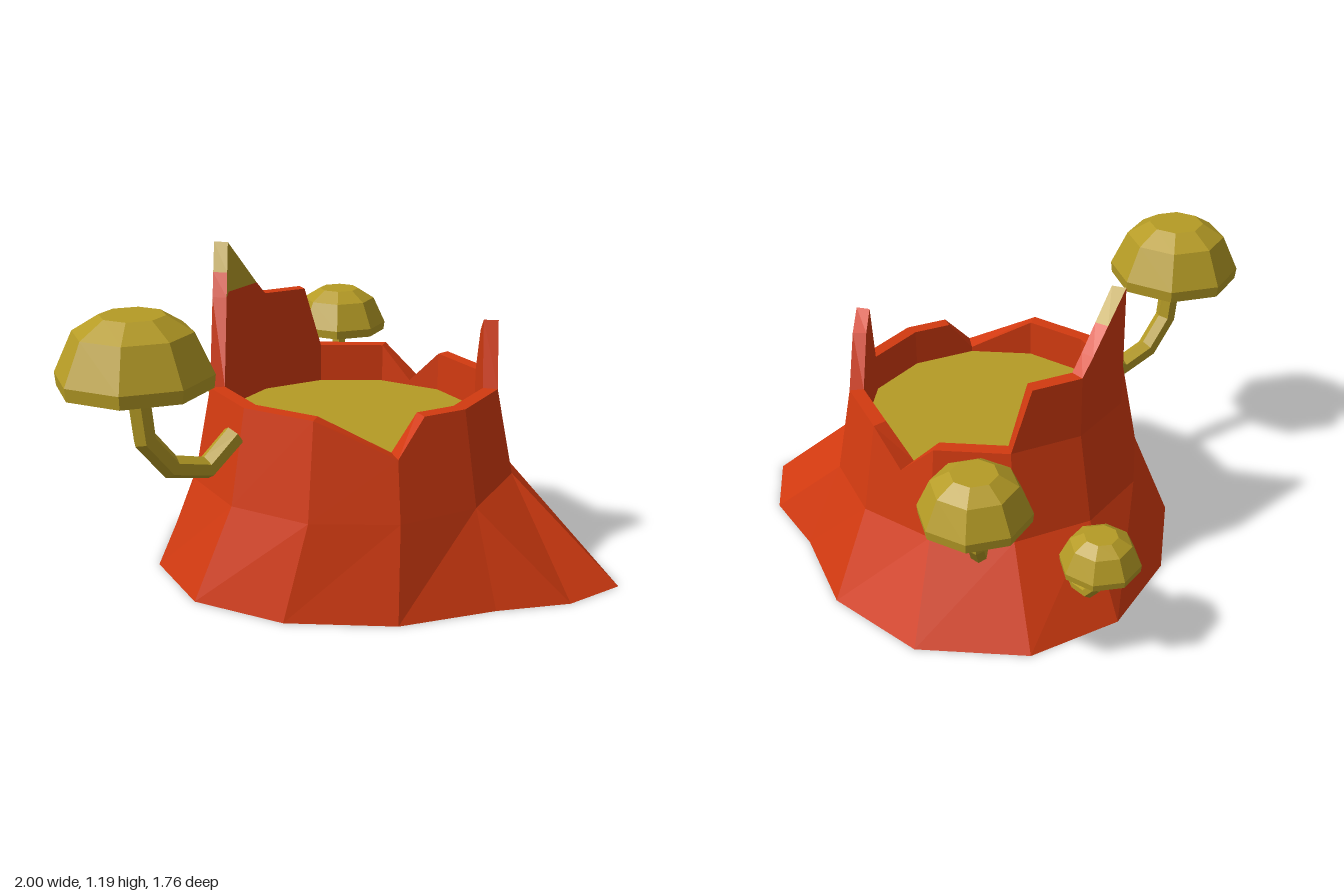
import * as THREE from 'three';

const CX = 0.12, CZ = 0.168, FLOOR = 0.55, TIP = 1.0, TIP_RIM = 1.08;

// Turns a list of polygons (arrays of Vector3) into a faceted geometry
function facets(polys) {
  const pos = [];
  for (const p of polys)
    for (let i = 1; i < p.length - 1; i++)
      for (const v of [p[0], p[i], p[i + 1]]) pos.push(v.x, v.y, v.z);
  const g = new THREE.BufferGeometry();
  g.setAttribute('position', new THREE.Float32BufferAttribute(pos, 3));
  g.computeVertexNormals();
  return g;
}

// Point on the side of a twelve-sided ring; k = 0 is the front, k = 3 the model's left
function onRing(k, r, y) {
  const i = Math.floor(k), t = k - i;
  const corner = (n) => {
    const a = (n * Math.PI) / 6;
    return new THREE.Vector3(CX + r * Math.sin(a), y, CZ + r * Math.cos(a));
  };
  return corner(i).lerp(corner(i + 1), t);
}

const outerRadius = (y) => 0.545 + 0.065 * Math.max(0, (0.7 - y) / 0.35);
const midPoint = (k) => {
  const p = onRing(k, 0.61, 0.35);
  p.y += 0.03 * Math.max(0, 1 - Math.abs(k - 2));
  return p;
};

// Jagged rim: [position around the ring, height]
const RIM = [
  [0, 0.57], [0.4, 0.7], [1, 0.7], [2, 0.7], [2.2, 0.945], [2.55, 0.885], [3, 0.7],
  [4, 0.7], [4.5, 0.57], [5, 0.7], [6, 0.7], [6.3, 0.945], [7, 0.945],
  [7.24, 1.0], [7.58, 1.085], [8, 1.19], [8.214, 1.085], [8.388, 1.0],
  [9, 0.7], [10, 0.7], [11, 0.7], [12, 0.57],
];

// Foot of the stump: [x, z, ring position above]; three points share the root
const FOOT = [
  [0.1, 0.84, 0], [0.47, 0.81, 1], [0.75, 0.82, 1], [0.98, 0.73, 2], [1.0, 0.43, 3],
  [0.88, 0.15, 3], [0.79, -0.24, 4], [0.52, -0.57, 5], [0.1, -0.68, 6], [-0.26, -0.55, 7],
  [-0.51, -0.25, 8], [-0.63, 0.13, 9], [-0.55, 0.48, 10], [-0.28, 0.72, 11], [0.1, 0.84, 12],
];

function buildStump(bark, wood) {
  const skirt = [], outer = [], inner = [], rim = [], tip = [];
  for (let i = 0; i < FOOT.length - 1; i++) {
    const [ax, az, ak] = FOOT[i], [bx, bz, bk] = FOOT[i + 1];
    const poly = [new THREE.Vector3(ax, 0, az), new THREE.Vector3(bx, 0, bz), midPoint(bk)];
    if (ak !== bk) poly.push(midPoint(ak));
    skirt.push(poly);
  }
  for (let i = 0; i < RIM.length - 1; i++) {
    const [ka, ya] = RIM[i], [kb, yb] = RIM[i + 1];
    const out = (k, y) => onRing(k, outerRadius(y), y);
    const inn = (k, y) => onRing(k, 0.49, y);
    const sa = Math.min(ya, 0.7), sb = Math.min(yb, 0.7);
    outer.push([midPoint(ka), midPoint(kb), out(kb, sb), out(ka, sa)]);
    if (ya > 0.7 || yb > 0.7) outer.push([out(ka, sa), out(kb, sb), out(kb, yb), out(ka, ya)]);
    // inner wall, with the bare wood tip above
    const ta = Math.min(ya, TIP), tb = Math.min(yb, TIP);
    inner.push([inn(kb, FLOOR), inn(ka, FLOOR), inn(ka, ta), inn(kb, tb)]);
    if (ya > TIP || yb > TIP) tip.push([inn(kb, tb), inn(ka, ta), inn(ka, ya), inn(kb, yb)]);
    const bare = ya > TIP_RIM && yb > TIP_RIM;
    (bare ? tip : rim).push([out(ka, ya), out(kb, yb), inn(kb, yb), inn(ka, ya)]);
  }
  const stump = new THREE.Group();
  stump.name = 'stump';
  const parts = [['rootSkirt', skirt, bark], ['outerWall', outer, bark], ['innerWall', inner, bark],
    ['rim', rim, bark], ['bareTip', tip, wood]];
  for (const [name, polys, mat] of parts) {
    const m = new THREE.Mesh(facets(polys), mat);
    m.name = name;
    stump.add(m);
  }
  // flat wooden floor inside the rim
  const floor = [];
  for (let k = 0; k < 12; k++) floor.push(onRing(k, 0.49, FLOOR));
  const disc = new THREE.Mesh(facets([floor]), wood);
  disc.name = 'woodFloor';
  stump.add(disc);
  return stump;
}

// Bent stem: six-sided rings along a planar path, mitred at each bend
function stemGeometry() {
  const path = [[0, 0.06], [0.03, -0.19], [0.13, -0.31], [0.28, -0.35], [0.405, -0.26]]
    .map((p) => new THREE.Vector2(...p));
  const rings = path.map((p, i) => {
    const before = p.clone().sub(path[Math.max(i - 1, 0)]).normalize();
    const after = path[Math.min(i + 1, path.length - 1)].clone().sub(p).normalize();
    const dir = before.add(after).normalize();
    return Array.from({ length: 6 }, (_, j) => {
      const a = (j * Math.PI) / 3, c = 0.042 * Math.cos(a);
      return new THREE.Vector3(p.x - dir.y * c, p.y + dir.x * c, 0.042 * Math.sin(a));
    });
  });
  const polys = [rings[0].slice(), rings[rings.length - 1].slice().reverse()];
  for (let i = 0; i < rings.length - 1; i++)
    for (let j = 0; j < 6; j++) {
      const n = (j + 1) % 6;
      polys.push([rings[i][j], rings[i + 1][j], rings[i + 1][n], rings[i][n]]);
    }
  return facets(polys);
}

// Eight-sided cap with a hollowed underside
function capGeometry() {
  const profile = [[0, 0.04], [0.15, 0.04], [0.26, 0], [0.265, 0.045], [0.2, 0.185], [0.11, 0.24], [0, 0.24]];
  const g = new THREE.LatheGeometry(profile.map((p) => new THREE.Vector2(...p)), 8).toNonIndexed();
  g.computeVertexNormals();
  return g;
}

export function createModel() {
  const bark = new THREE.MeshStandardMaterial({ color: 0xd23a10, side: THREE.DoubleSide });
  bark.name = 'redBark';
  const wood = new THREE.MeshStandardMaterial({ color: 0xb59b25, side: THREE.DoubleSide });
  wood.name = 'oliveWood';

  const model = new THREE.Group();
  model.name = 'mushroomStump';
  model.add(buildStump(bark, wood));

  // Mushrooms: cap position, size, horizontal direction of the stem, cap turn in degrees
  const mushrooms = [
    ['rightMushroom', [-0.745, 0.86, 0.62], 1, [0.36, -0.19], 28],
    ['backMushroom', [0.295, 0.67, -0.69], 0.76, [-0.07, 0.31], 28],
    ['smallBackMushroom', [-0.147, 0.4, -0.69], 0.56, [0.07, 0.21], 22.5],
  ];
  const capGeo = capGeometry(), stemGeo = stemGeometry();
  for (const [name, at, size, [dx, dz], turn] of mushrooms) {
    const g = new THREE.Group();
    g.name = name;
    const cap = new THREE.Mesh(capGeo, wood);
    cap.name = 'cap';
    cap.rotation.y = THREE.MathUtils.degToRad(turn);
    const stem = new THREE.Mesh(stemGeo, wood);
    stem.name = 'stem';
    stem.rotation.y = Math.atan2(-dz, dx);
    g.add(cap, stem);
    g.position.set(...at);
    g.scale.setScalar(size);
    model.add(g);
  }
  return model;
}
